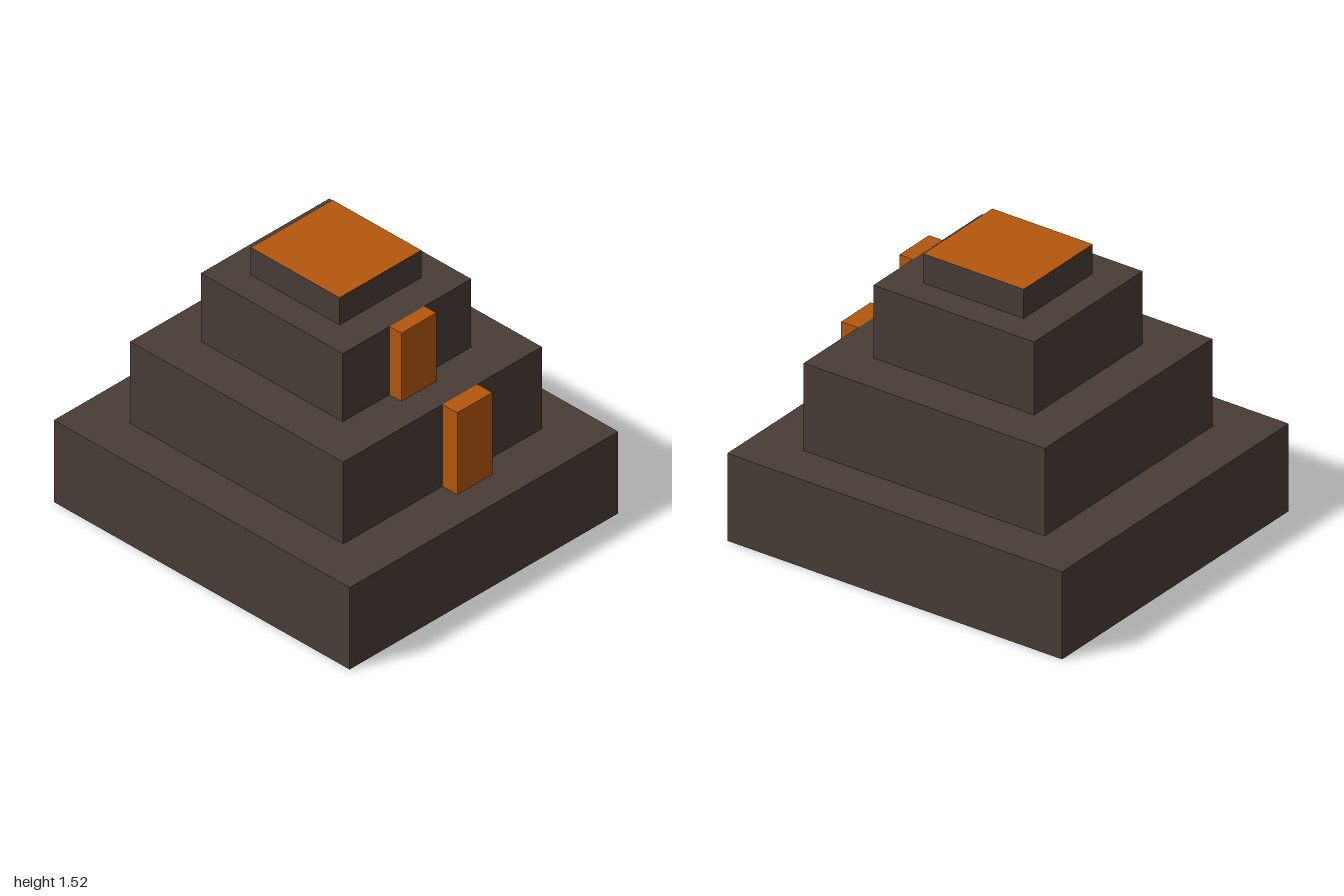
import * as THREE from 'three';

// Box standing at height y0 with its underside left open; side and top faces form two material groups
function openBox(width, depth, y0, y1) {
  const geometry = new THREE.BoxGeometry(width, y1 - y0, depth);
  const index = Array.from(geometry.index.array);
  const top = index.slice(12, 18);
  const sides = [...index.slice(0, 12), ...index.slice(24)];
  geometry.setIndex([...sides, ...top]);
  geometry.clearGroups();
  geometry.addGroup(0, sides.length, 0);
  geometry.addGroup(sides.length, top.length, 1);
  geometry.translate(0, (y0 + y1) / 2, 0);
  return geometry;
}

export function createModel() {
  const rock = new THREE.MeshStandardMaterial({ color: 0x483c36, side: THREE.DoubleSide });
  rock.name = 'dark rock';
  const lava = new THREE.MeshStandardMaterial({ color: 0xb4570e, side: THREE.DoubleSide });
  lava.name = 'orange lava';

  const model = new THREE.Group();
  model.name = 'steppedVolcano';

  const add = (name, geometry, material) => {
    const mesh = new THREE.Mesh(geometry, material);
    mesh.name = name;
    model.add(mesh);
    return mesh;
  };

  // Rock tiers, hollow from below; the summit is capped with lava
  const tiers = [
    ['baseTier', 2, 1.84, 0, 0.48, rock],
    ['middleTier', 1.44, 1.36, 0.48, 0.96, rock],
    ['upperTier', 0.96, 0.88, 0.96, 1.36, rock],
    ['summitCrater', 0.6, 0.56, 1.36, 1.52, lava],
  ];
  for (const [name, width, depth, y0, y1, top] of tiers) {
    add(name, openBox(width, depth, y0, y1), [rock, top]);
  }

  // Lava flows running down the left side
  const flows = [
    ['upperLavaFlow', 0.48, 0.56, 0.96, 1.36, 0],
    ['lowerLavaFlow', 0.72, 0.82, 0.48, 0.96, -0.12],
  ];
  for (const [name, x0, x1, y0, y1, z] of flows) {
    const flow = add(name, new THREE.BoxGeometry(x1 - x0, y1 - y0, 0.24), lava);
    flow.position.set((x0 + x1) / 2, (y0 + y1) / 2, z);
  }

  return model;
}
